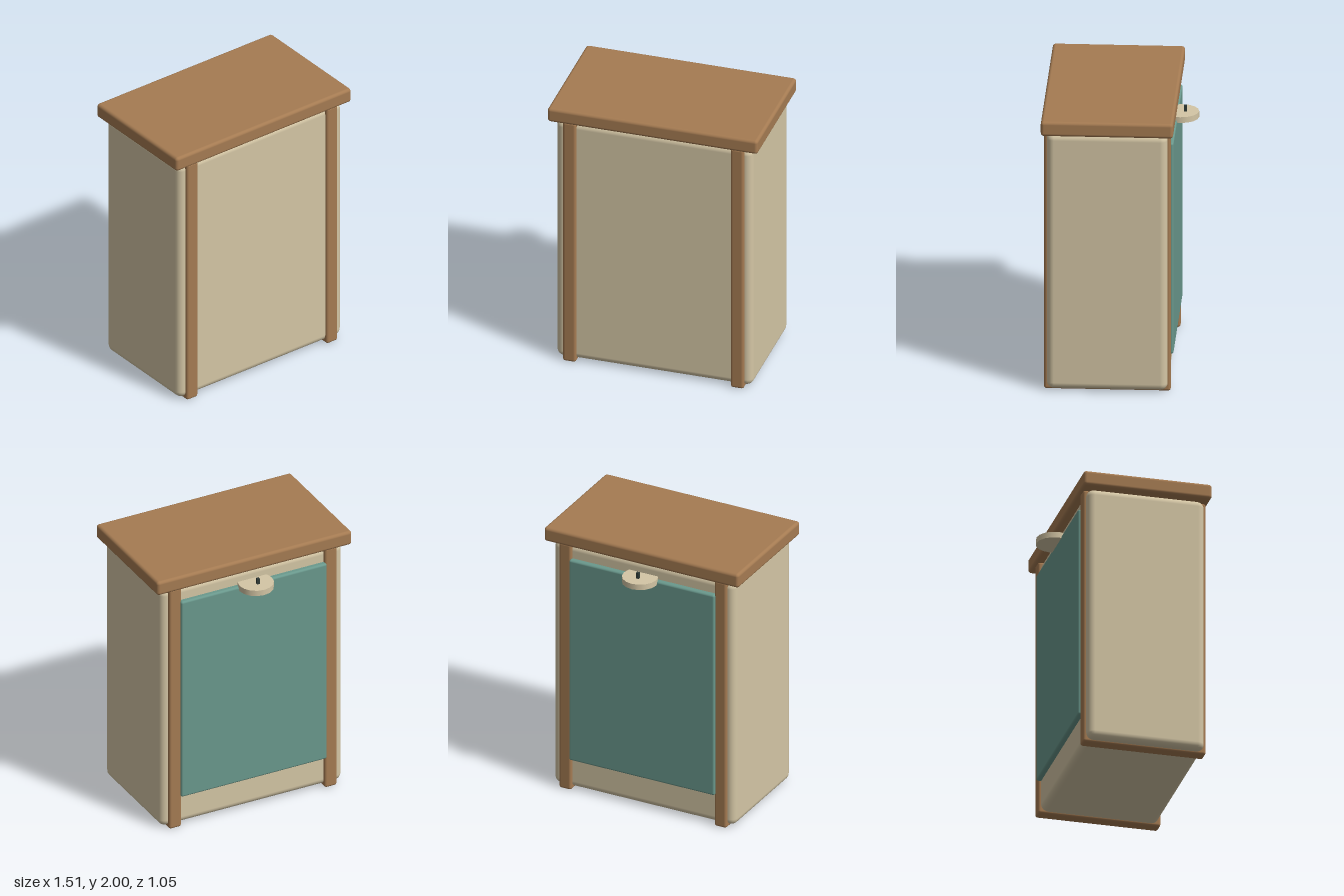
import * as THREE from 'three';
import { RoundedBoxGeometry } from 'three/addons/geometries/RoundedBoxGeometry.js';

const material = (color) => new THREE.MeshStandardMaterial({ color });

export function createModel() {
  const model = new THREE.Group();
  const wood = material(0xa57b52);
  const cream = material(0xd4c6a5);
  const teal = material(0x6a998d);
  const dark = material(0x2f3a36);

  const add = (name, geometry, mat) => {
    const mesh = new THREE.Mesh(geometry, mat);
    mesh.name = name;
    model.add(mesh);
    return mesh;
  };

  // Rounded block given by its extents along each axis
  const block = (name, [x0, x1], [y0, y1], [z0, z1], radius, mat) => {
    const geometry = new RoundedBoxGeometry(x1 - x0, y1 - y0, z1 - z0, 3, radius);
    geometry.translate((x0 + x1) / 2, (y0 + y1) / 2, (z0 + z1) / 2);
    return add(name, geometry, mat);
  };

  // Cabinet and overhanging top
  block('cabinetBody', [-0.705, 0.705], [0.015, 1.895], [-0.345, 0.485], 0.05, cream);
  block('topSlab', [-0.755, 0.755], [1.893, 2], [-0.387, 0.522], 0.022, wood);

  // Wooden bands wrapping front, underside and back
  block('leftBand', [0.555, 0.65], [0, 1.9], [-0.365, 0.505], 0.018, wood);
  block('rightBand', [-0.65, -0.555], [0, 1.9], [-0.365, 0.505], 0.018, wood);

  // Recessed panel between the bands at the back
  block('backPanel', [-0.565, 0.565], [0.24, 1.79], [-0.38, -0.32], 0.015, teal);

  // Round ledge with a small upright pin
  const ledge = add('roundLedge', new THREE.CylinderGeometry(0.125, 0.125, 0.042, 16), cream);
  ledge.position.set(0, 1.791, -0.4);
  const pin = add('ledgePin', new THREE.BoxGeometry(0.02, 0.055, 0.02), dark);
  pin.position.set(0, 1.828, -0.43);

  return model;
}
